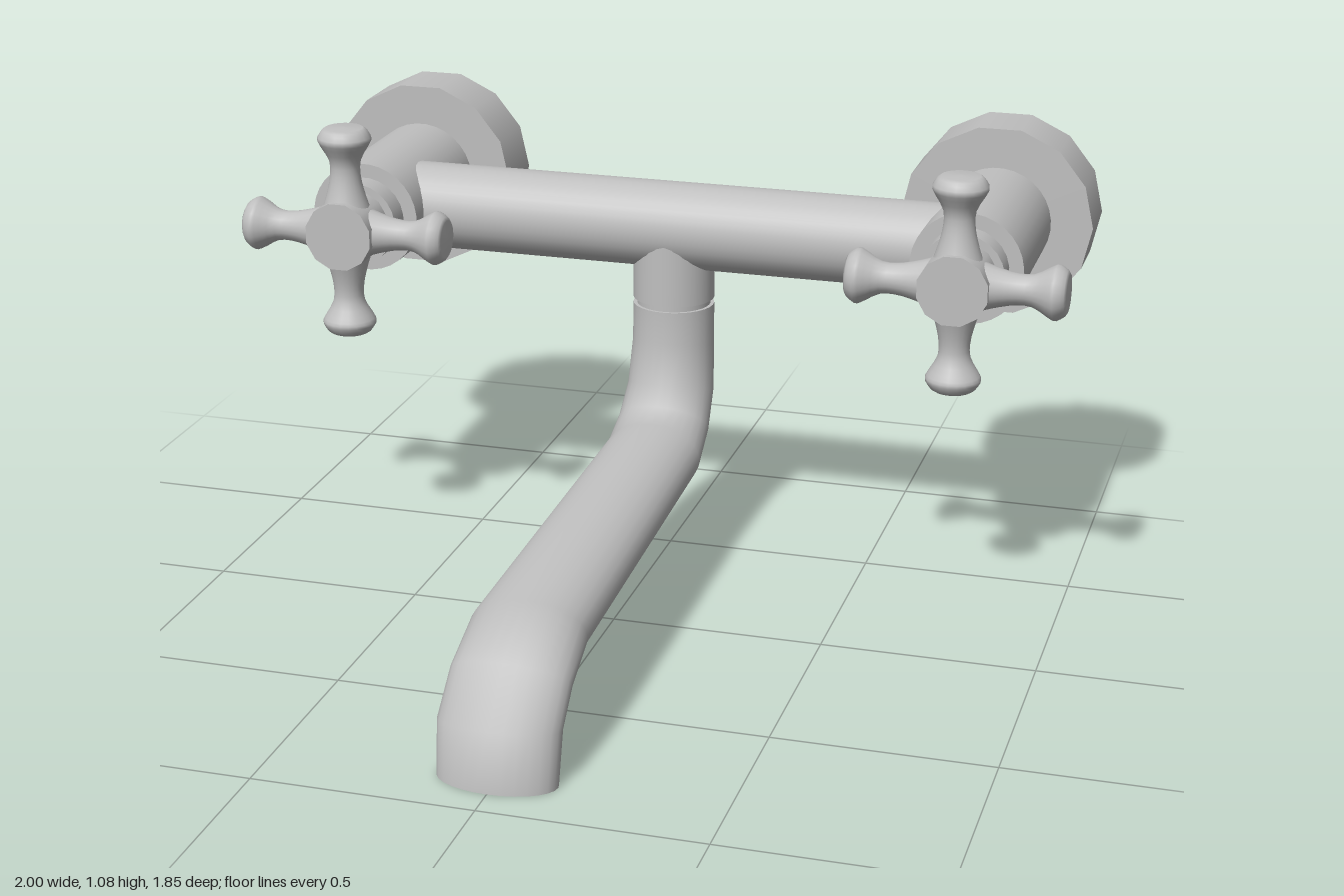
import * as THREE from 'three';

export function createModel() {
  const root = new THREE.Group();
  root.name = 'wallTap';
  const metal = new THREE.MeshStandardMaterial({ color: 0xc0c0c0 });
  metal.name = 'greyMetal';

  const add = (parent, name, geometry) => {
    const m = new THREE.Mesh(geometry, metal);
    m.name = name;
    parent.add(m);
    return m;
  };
  // Cylinder along z between two depths
  const barrel = (r, z0, z1, sides) =>
    new THREE.CylinderGeometry(r, r, z1 - z0, sides)
      .rotateY(Math.PI / sides).rotateX(Math.PI / 2).translate(0, 0, (z0 + z1) / 2);

  // Valve: wall flange, body, neck and cross handle
  const armProfile = new THREE.SplineCurve([
    [0.06, 0.05], [0.047, 0.09], [0.037, 0.135], [0.038, 0.175],
    [0.058, 0.212], [0.065, 0.23], [0.053, 0.25],
  ].map(([r, y]) => new THREE.Vector2(r, y))).getPoints(14);
  armProfile.push(new THREE.Vector2(0.045, 0.255), new THREE.Vector2(0, 0.257));

  for (const [side, name] of [[1, 'left'], [-1, 'right']]) {
    const valve = new THREE.Group();
    valve.name = name + 'Valve';
    valve.position.set(side * 0.742, 0.825, 0);
    root.add(valve);
    add(valve, 'wallFlange', barrel(0.236, -0.925, -0.765, 14));
    add(valve, 'valveBody', barrel(0.134, -0.77, -0.36, 32));
    add(valve, 'valveNeck', barrel(0.1, -0.37, -0.3, 24));
    const handle = new THREE.Group();
    handle.name = 'crossHandle';
    valve.add(handle);
    add(handle, 'handleHub', barrel(0.084, -0.305, -0.177, 12));
    for (let i = 0; i < 4; i++) {
      const arm = add(handle, 'handleArm', new THREE.LatheGeometry(armProfile, 20));
      arm.position.z = -0.24;
      arm.rotation.z = i * Math.PI / 2;
    }
  }

  // Crossbar joining both valves, with the outlet below it
  add(root, 'crossbar', new THREE.CylinderGeometry(0.105, 0.105, 1.44, 32)
    .rotateZ(Math.PI / 2).translate(0, 0.825, -0.515));
  const collar = (name, r, y0, y1) => add(root, name,
    new THREE.CylinderGeometry(r, r, y1 - y0, 32).translate(0, (y0 + y1) / 2, -0.514));
  collar('outletStub', 0.099, 0.645, 0.81);
  collar('outletGroove', 0.09, 0.62, 0.65);

  // Spout sections: upper z, y; lower z, y; half width
  const sections = [
    [-0.417, 0.63, -0.61, 0.63, 0.099],
    [-0.417, 0.55, -0.61, 0.51, 0.1],
    [-0.402, 0.45, -0.58, 0.39, 0.106],
    [-0.368, 0.405, -0.49, 0.286, 0.112],
    [-0.314, 0.38, -0.348, 0.207, 0.117],
    [0.654, 0.326, 0.61, 0.173, 0.131],
    [0.807, 0.247, 0.704, 0.143, 0.135],
    [0.911, 0.133, 0.758, 0.109, 0.137],
    [0.926, 0, 0.783, 0, 0.134],
  ];
  const n = 28, pos = [], idx = [];
  const ring = ([z0, y0, z1, y1, w]) => {
    for (let j = 0; j < n; j++) {
      const a = (j / n) * Math.PI * 2, c = Math.cos(a) / 2;
      pos.push(Math.sin(a) * w, (y0 + y1) / 2 + (y0 - y1) * c, (z0 + z1) / 2 + (z0 - z1) * c);
    }
  };
  sections.forEach(ring);
  for (let i = 0; i < sections.length - 1; i++) {
    for (let j = 0; j < n; j++) {
      const a = i * n + j, b = i * n + (j + 1) % n;
      idx.push(a, a + n, b, b, a + n, b + n);
    }
  }
  // Flat ends with their own vertices
  for (const [s, flip] of [[sections[0], true], [sections[sections.length - 1], false]]) {
    const base = pos.length / 3;
    ring(s);
    for (let j = 1; j < n - 1; j++) {
      idx.push(base, base + (flip ? j : j + 1), base + (flip ? j + 1 : j));
    }
  }
  // Orient all faces outward: the first end must face up
  const P = (k) => new THREE.Vector3().fromArray(pos, k * 3);
  const up = (a, b, c) => P(b).sub(P(a)).cross(P(c).sub(P(a)));
  const sideOut = up(idx[0], idx[1], idx[2]).z > 0;
  const capStart = (sections.length - 1) * n * 6, capSize = (n - 2) * 3;
  const topOut = up(...idx.slice(capStart, capStart + 3)).y > 0;
  const bottomOut = up(...idx.slice(capStart + capSize, capStart + capSize + 3)).y < 0;
  for (let k = 0; k < idx.length; k += 3) {
    const ok = k < capStart ? sideOut : k < capStart + capSize ? topOut : bottomOut;
    if (!ok) [idx[k + 1], idx[k + 2]] = [idx[k + 2], idx[k + 1]];
  }
  const spout = new THREE.BufferGeometry();
  spout.setAttribute('position', new THREE.Float32BufferAttribute(pos, 3));
  spout.setIndex(idx);
  spout.computeVertexNormals();
  add(root, 'spout', spout);

  return root;
}
